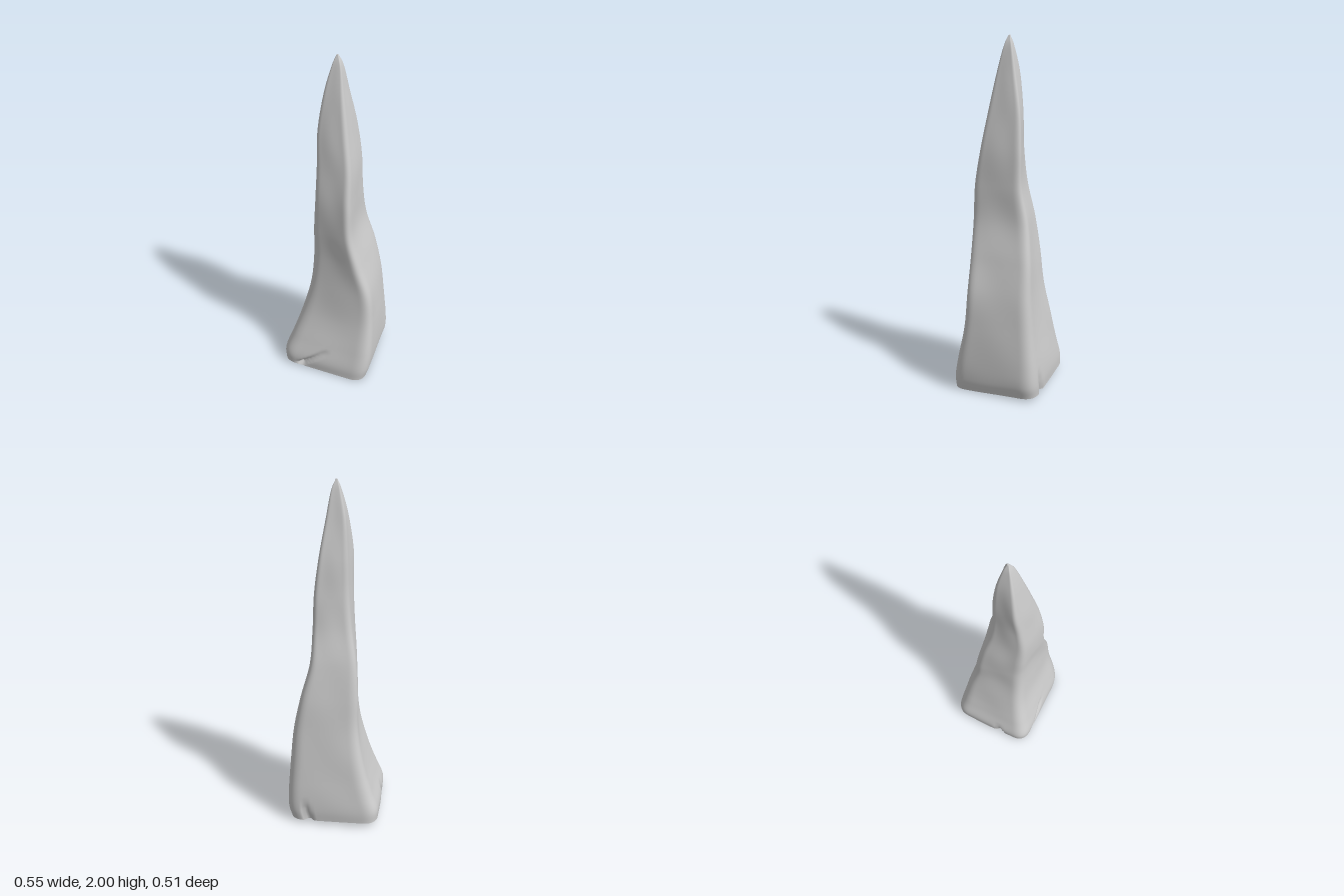
import * as THREE from 'three';

// Corner ridges by height: y, then x,z of front-right, front-left, back-left, back-right
const LEVELS = [
  [0.0, -0.272, 0.248, 0.25, 0.258, 0.245, -0.25, -0.27, -0.25],
  [0.08, -0.272, 0.248, 0.268, 0.254, 0.262, -0.252, -0.268, -0.248],
  [0.2, -0.235, 0.215, 0.276, 0.23, 0.258, -0.243, -0.23, -0.235],
  [0.4, -0.175, 0.165, 0.268, 0.188, 0.242, -0.22, -0.177, -0.21],
  [0.6, -0.125, 0.14, 0.248, 0.174, 0.222, -0.204, -0.145, -0.172],
  [0.8, -0.105, 0.125, 0.185, 0.176, 0.185, -0.19, -0.142, -0.145],
  [1.0, -0.1, 0.13, 0.134, 0.177, 0.134, -0.158, -0.126, -0.115],
  [1.2, -0.09, 0.13, 0.123, 0.169, 0.121, -0.116, -0.092, -0.08],
  [1.4, -0.086, 0.11, 0.113, 0.136, 0.111, -0.111, -0.072, -0.062],
  [1.6, -0.088, 0.085, 0.083, 0.1, 0.086, -0.095, -0.063, -0.06],
  [1.8, -0.06, 0.055, 0.05, 0.06, 0.052, -0.053, -0.052, -0.046],
  [1.94, -0.026, 0.024, 0.026, 0.026, 0.027, -0.024, -0.024, -0.022],
  [2.0, -0.004, 0.004, 0.004, 0.004, 0.004, -0.004, -0.004, -0.004],
];
const ROWS = 120, SIDE = 28, RING = SIDE * 4, ROUND = 0.17;

// Depth of a groove running from (u0,v0) to (u1,v1) on a face
function groove(u, v, u0, v0, u1, v1, width, depth) {
  const du = u1 - u0, dv = v1 - v0;
  const t = THREE.MathUtils.clamp(((u - u0) * du + (v - v0) * dv) / (du * du + dv * dv), 0, 1);
  const d = Math.hypot(u - u0 - t * du, v - v0 - t * dv);
  return depth * (1 - 0.8 * t) * Math.max(0, 1 - d / width);
}

// Closed four-sided section with softened corners; k is the corner, s runs 0..1 around it
function sectionPoint(c, k, s) {
  const p = c[k], prev = c[(k + 3) % 4], next = c[(k + 1) % 4];
  const a = p.clone().lerp(prev, ROUND), b = p.clone().lerp(next, ROUND);
  if (s < 0.4) {
    const t = s / 0.4;
    return a.lerp(p, t).lerp(p.clone().lerp(b, t), t);
  }
  return b.lerp(next.clone().lerp(p, ROUND), (s - 0.4) / 0.6);
}

// Carve cracks, add faint ripples and tilt the foot
function weather(p, k, s) {
  const { x, y, z } = p;
  const face = s > 0.4 ? Math.sin(((s - 0.4) / 0.6) * Math.PI) : 0;
  const ripple = face * 0.004 * Math.sin(y * 9 + k * 1.7) * Math.sin(y * 4 + s * 3 + k) * Math.min(1, (2 - y) * 2);
  const out = [[0, 1], [1, 0], [0, -1], [-1, 0]][k];
  let push = ripple;
  if (k === 0 && s > 0.4) push -= groove(x, y, -0.15, 0.02, 0.0, 0.15, 0.022, 0.035);
  if (k === 2 && s > 0.4) push -= groove(x, y, 0.13, 0.0, 0.17, 0.14, 0.03, 0.03);
  if (k === 3 && s > 0.4) push -= groove(z, y, 0.07, 0.0, 0.05, 0.1, 0.03, 0.025);
  p.x += out[0] * push;
  p.z += out[1] * push;
  p.y += Math.max(0, 0.018 - 0.03 * x - 0.04 * z) * Math.max(0, 1 - y / 0.3);
  return p;
}

function flatCap(ring, up) {
  const centre = ring.reduce((a, p) => a.add(p), new THREE.Vector3()).divideScalar(ring.length);
  const pts = [];
  ring.forEach((p, i) => {
    const q = ring[(i + 1) % ring.length];
    pts.push(centre, up ? p : q, up ? q : p);
  });
  const geo = new THREE.BufferGeometry().setFromPoints(pts);
  geo.computeVertexNormals();
  return geo;
}

export function createModel() {
  const group = new THREE.Group();
  group.name = 'rockSpire';
  const stone = new THREE.MeshStandardMaterial({ color: 0xcccccc });

  // Four ridge curves climbing from the foot to the tip
  const ridges = [0, 1, 2, 3].map((k) => new THREE.CatmullRomCurve3(
    LEVELS.map((l) => new THREE.Vector3(l[1 + 2 * k], l[0], l[2 + 2 * k])), false, 'catmullrom', 0.5));

  const rings = [];
  for (let r = 0; r <= ROWS; r++) {
    const corners = ridges.map((curve) => curve.getPoint(r / ROWS));
    const ring = [];
    for (let i = 0; i < RING; i++) {
      const k = Math.floor(i / SIDE), s = (i % SIDE) / SIDE;
      ring.push(weather(sectionPoint(corners, k, s), k, s));
    }
    rings.push(ring);
  }

  // Skin of the spire
  const index = [];
  for (let r = 0; r < ROWS; r++) {
    for (let i = 0; i < RING; i++) {
      const j = (i + 1) % RING, a = r * RING + i, b = r * RING + j;
      index.push(a, b, b + RING, a, b + RING, a + RING);
    }
  }
  const skin = new THREE.BufferGeometry().setFromPoints(rings.flat());
  skin.setIndex(index);
  skin.computeVertexNormals();

  const add = (name, geo) => {
    const mesh = new THREE.Mesh(geo, stone);
    mesh.name = name;
    group.add(mesh);
  };
  add('spireBody', skin);
  add('spireBase', flatCap(rings[0], false));
  add('spireTip', flatCap(rings[ROWS], true));
  return group;
}
